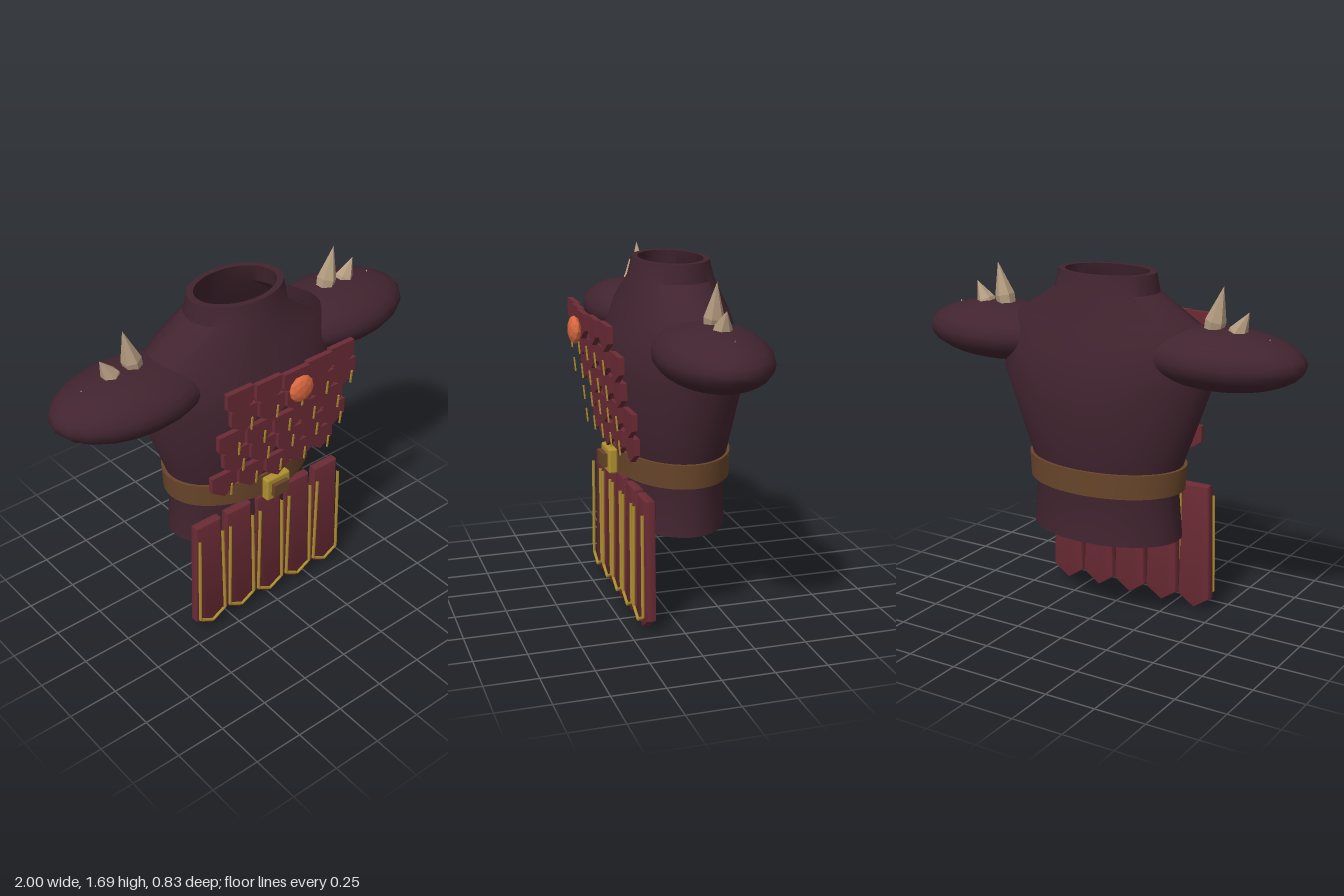
import * as THREE from 'three';
import { toCreasedNormals } from 'three/addons/utils/BufferGeometryUtils.js';
import { RoundedBoxGeometry } from 'three/addons/geometries/RoundedBoxGeometry.js';

const paint = (name, color, flatShading = false) => {
  const m = new THREE.MeshStandardMaterial({ color, flatShading });
  m.name = name;
  return m;
};

// Closed shell lofted through elliptical rings [y, rx, rz]; outer rings go up, inner rings go down
function ellipticShell(outer, wall, segments = 48) {
  const inner = outer.map(([y, rx, rz]) => [y, rx - wall, rz - wall * 0.8]).reverse();
  const rings = [...outer, ...inner];
  const positions = [], index = [];
  for (const [y, rx, rz] of rings) {
    for (let i = 0; i < segments; i++) {
      const a = (i / segments) * Math.PI * 2;
      positions.push(rx * Math.cos(a), y, rz * Math.sin(a));
    }
  }
  for (let j = 0; j < rings.length; j++) {
    const k = (j + 1) % rings.length;
    for (let i = 0; i < segments; i++) {
      const n = (i + 1) % segments;
      const a = j * segments + i, b = j * segments + n;
      const c = k * segments + i, d = k * segments + n;
      index.push(a, c, b, b, c, d);
    }
  }
  const g = new THREE.BufferGeometry();
  g.setAttribute('position', new THREE.Float32BufferAttribute(positions, 3));
  g.setIndex(index);
  return toCreasedNormals(g, 0.65);
}

const polygon = (pts) => new THREE.Shape(pts.map(([x, y]) => new THREE.Vector2(x, y)));

export function createModel() {
  const cloth = paint('dark plum leather', 0x41242f);
  const red = paint('crimson leather', 0x6b2b35);
  const gold = paint('gold', 0xb0902f);
  const brown = paint('brown leather', 0x68452a);
  const bone = paint('bone', 0xb49c80, true);
  const orange = paint('orange gem', 0xd9683f, true);

  const model = new THREE.Group();
  model.name = 'armour';
  const add = (name, geometry, material, x = 0, y = 0, z = 0, parent = model) => {
    const mesh = new THREE.Mesh(geometry, material);
    mesh.name = name;
    mesh.position.set(x, y, z);
    parent.add(mesh);
    return mesh;
  };
  const axisZ = -0.08;

  // Torso shell, open at neck and hem
  add('torso', ellipticShell([
    [0.43, 0.39, 0.25], [0.67, 0.37, 0.235], [0.8, 0.395, 0.26], [1.2, 0.54, 0.33],
    [1.35, 0.52, 0.282], [1.47, 0.475, 0.243], [1.6, 0.26, 0.198], [1.69, 0.245, 0.175],
  ], 0.034), cloth, 0, 0, axisZ);

  // Belt and buckle
  add('belt', ellipticShell([[0.672, 0.402, 0.27], [0.79, 0.41, 0.272]], 0.03), brown, 0, 0, axisZ);
  add('buckleFrame', new RoundedBoxGeometry(0.142, 0.125, 0.046, 2, 0.012), gold, 0, 0.733, 0.223);
  add('buckleCentre', new THREE.BoxGeometry(0.09, 0.066, 0.05), brown, 0, 0.733, 0.243);

  // Shoulder caps with rows of spikes leaning outwards
  const capGeo = new THREE.SphereGeometry(1, 20, 14);
  const spikes = [[0.553, 1.43, 0.25, 1, 0.23], [0.66, 1.43, 0.16, 0.95, 0.5], [0.79, 1.36, 0.117, 0.55, 0.45]];
  for (const side of [1, -1]) {
    const shoulder = new THREE.Group();
    shoulder.name = side > 0 ? 'leftShoulder' : 'rightShoulder';
    model.add(shoulder);
    add('shoulderCap', capGeo, cloth, side * 0.6, 1.345, axisZ, shoulder).scale.set(0.4, 0.14, 0.253);
    for (const [x, y, length, width, lean] of spikes) {
      const profile = [[0, 0], [0.04, 0], [0.048, 0.35 * length], [0, length]];
      const geo = new THREE.LatheGeometry(profile.map(([r, h]) => new THREE.Vector2(r * width, h)), 6);
      add('spike', geo, bone, side * x, y, -0.095, shoulder).rotation.z = -side * lean;
    }
  }

  // Chest scales: staggered rows, middle columns standing further forward
  const pitch = 0.148;
  const scaleGeo = new THREE.ExtrudeGeometry(
    polygon([[-0.072, 0], [-0.072, -0.078], [0, -0.128], [0.072, -0.078], [0.072, 0]]),
    { depth: 0.026, bevelEnabled: false });
  const ridgeGeo = new THREE.BoxGeometry(0.007, 0.07, 0.007);
  const rowZ = [0.302, 0.265, 0.238, 0.206, 0.18];
  const scales = new THREE.Group();
  scales.name = 'chestScales';
  model.add(scales);
  rowZ.forEach((z, row) => {
    const y = 1.453 - row * 0.132;
    for (let col = 0; col < 5; col++) {
      const x = (col - 2) * pitch + (row % 2) * 0.05;
      add('scale', scaleGeo, red, x, y, z + 0.015 * (2 - Math.abs(col - 2)), scales);
      if (row > 0) add('scaleRidge', ridgeGeo, gold, x, y - 0.055, z + 0.076, scales).rotation.x = 0.1;
    }
  });

  // Faceted chest gem
  add('chestGem', new THREE.IcosahedronGeometry(0.067, 1), orange, 0, 1.37, 0.387).scale.z = 0.44;

  // Hanging skirt straps with pointed ends and gold edging
  const bevel = 0.01;
  const strapGeo = toCreasedNormals(new THREE.ExtrudeGeometry(
    polygon([[-0.063, 0.635], [-0.077, 0.066], [0, 0.013], [0.077, 0.066], [0.063, 0.635]]),
    { depth: 0.028, bevelEnabled: true, bevelSize: bevel, bevelThickness: bevel, bevelSegments: 2 }), 0.5);
  const trimPoints = [[-0.068, 0.585], [-0.077, 0.083], [0, 0.04], [0.077, 0.083], [0.068, 0.585]]
    .map(([x, y]) => new THREE.Vector3(x, y, 0));
  const trimPath = new THREE.CurvePath();
  for (let i = 0; i < 4; i++) trimPath.add(new THREE.LineCurve3(trimPoints[i], trimPoints[i + 1]));
  const trimGeo = new THREE.TubeGeometry(trimPath, 80, 0.008, 6);
  for (let i = -2; i <= 2; i++) {
    const strap = new THREE.Group();
    strap.name = 'skirtStrap';
    strap.position.x = i * 0.184;
    model.add(strap);
    add('strapPanel', strapGeo, red, 0, 0, 0.136, strap);
    add('strapTrim', trimGeo, gold, 0, 0, 0.19, strap);
  }
  return model;
}
